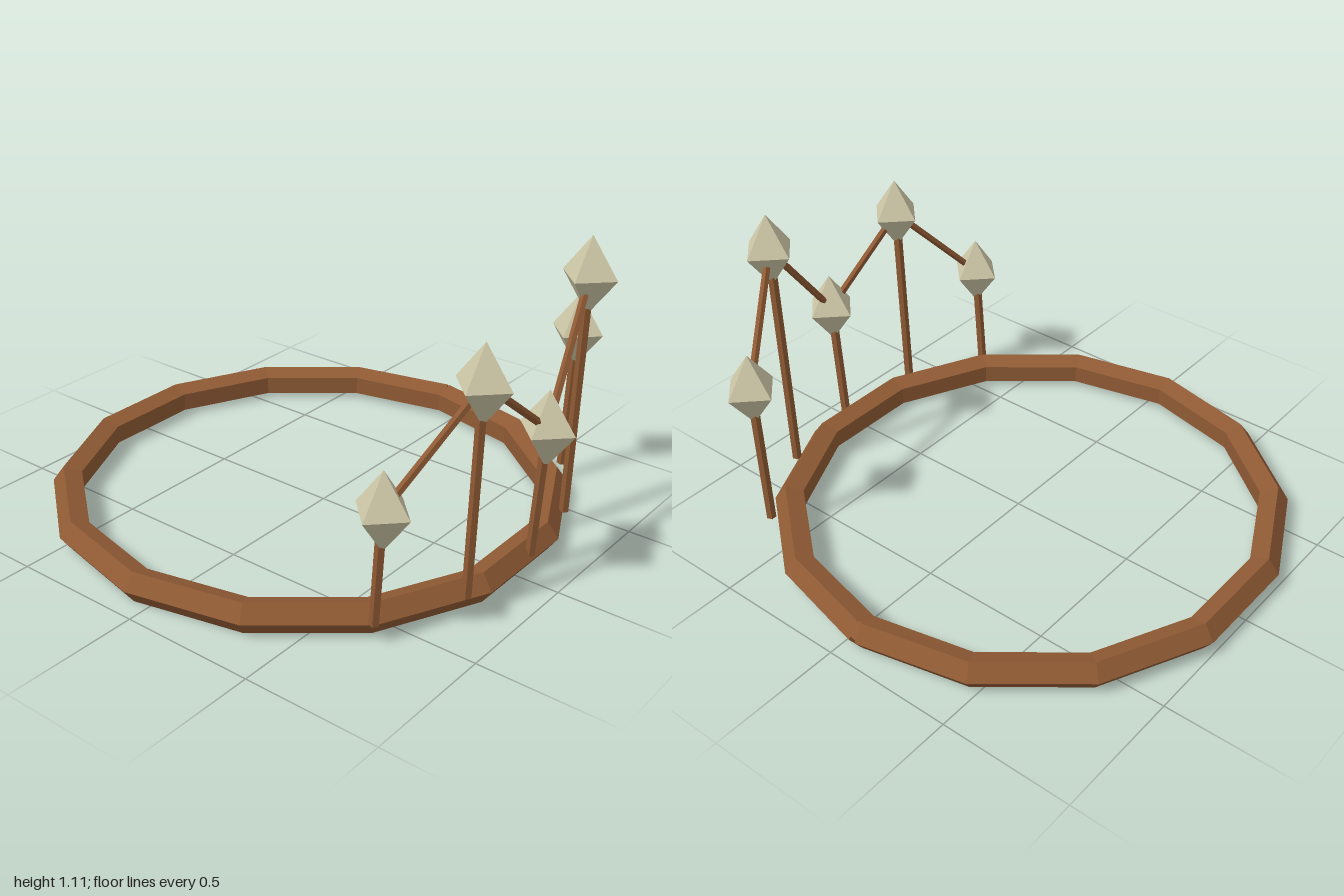
import * as THREE from 'three';

const wood = new THREE.MeshStandardMaterial({ name: 'brown wood', color: 0x8f5a34, flatShading: true, side: THREE.DoubleSide });
const bone = new THREE.MeshStandardMaterial({ name: 'pale bone', color: 0xcdc6a6, flatShading: true });

const RADIUS = 0.9, TUBE = 0.06, SIDES = 5, SEGMENTS = 14;

// Five-sided hoop whose two ends are cut square, leaving a small notch at +x
function hoopGeometry() {
  const geo = new THREE.TorusGeometry(RADIUS, TUBE, SIDES, SEGMENTS);
  const pos = geo.attributes.position;
  const half = Math.PI / SEGMENTS;
  for (let j = 0; j <= SIDES; j++) {
    const a = (j / SIDES) * Math.PI * 2;
    const out = TUBE * Math.cos(a), up = TUBE * Math.sin(a);
    const row = j * (SEGMENTS + 1);
    pos.setXYZ(row, RADIUS + out * Math.cos(half), out * Math.sin(half), up);
    pos.setXYZ(row + SEGMENTS, RADIUS + out * Math.cos(half), -out * Math.sin(half), up);
  }
  geo.rotateX(-Math.PI / 2);
  return geo;
}

// Straight stick between two points
function stick(name, from, to, radius) {
  const dir = to.clone().sub(from);
  const mesh = new THREE.Mesh(new THREE.CylinderGeometry(radius, radius, dir.length(), 5), wood);
  mesh.name = name;
  mesh.position.copy(from).add(to).multiplyScalar(0.5);
  mesh.quaternion.setFromUnitVectors(new THREE.Vector3(0, 1, 0), dir.normalize());
  return mesh;
}

export function createModel() {
  const group = new THREE.Group();
  group.name = 'circlet';

  const hoop = new THREE.Mesh(hoopGeometry(), wood);
  hoop.name = 'hoop';
  hoop.position.set(0, 0.057, -0.063);
  group.add(hoop);

  // Each spike: x, gem height, gem z, post base z
  const spikes = [
    [-0.61, 0.485, 0.717, 0.692],
    [-0.3, 0.832, 0.857, 0.832],
    [0.05, 0.555, 0.89, 0.857],
    [0.38, 0.973, 0.825, 0.798],
    [0.69, 0.625, 0.633, 0.609],
  ];
  const gemGeo = new THREE.OctahedronGeometry(0.103).scale(1, 1.36, 1);
  const tips = spikes.map(([x, y, z]) => new THREE.Vector3(x, y, z));

  spikes.forEach(([x, , , baseZ], i) => {
    group.add(stick('post', new THREE.Vector3(x, 0.068, baseZ), tips[i], 0.018));
    const gem = new THREE.Mesh(gemGeo, bone);
    gem.name = 'gem';
    gem.position.copy(tips[i]);
    group.add(gem);
    // Thin rod to the next gem
    if (i > 0) group.add(stick('linkRod', tips[i - 1], tips[i], 0.014));
  });
  return group;
}
